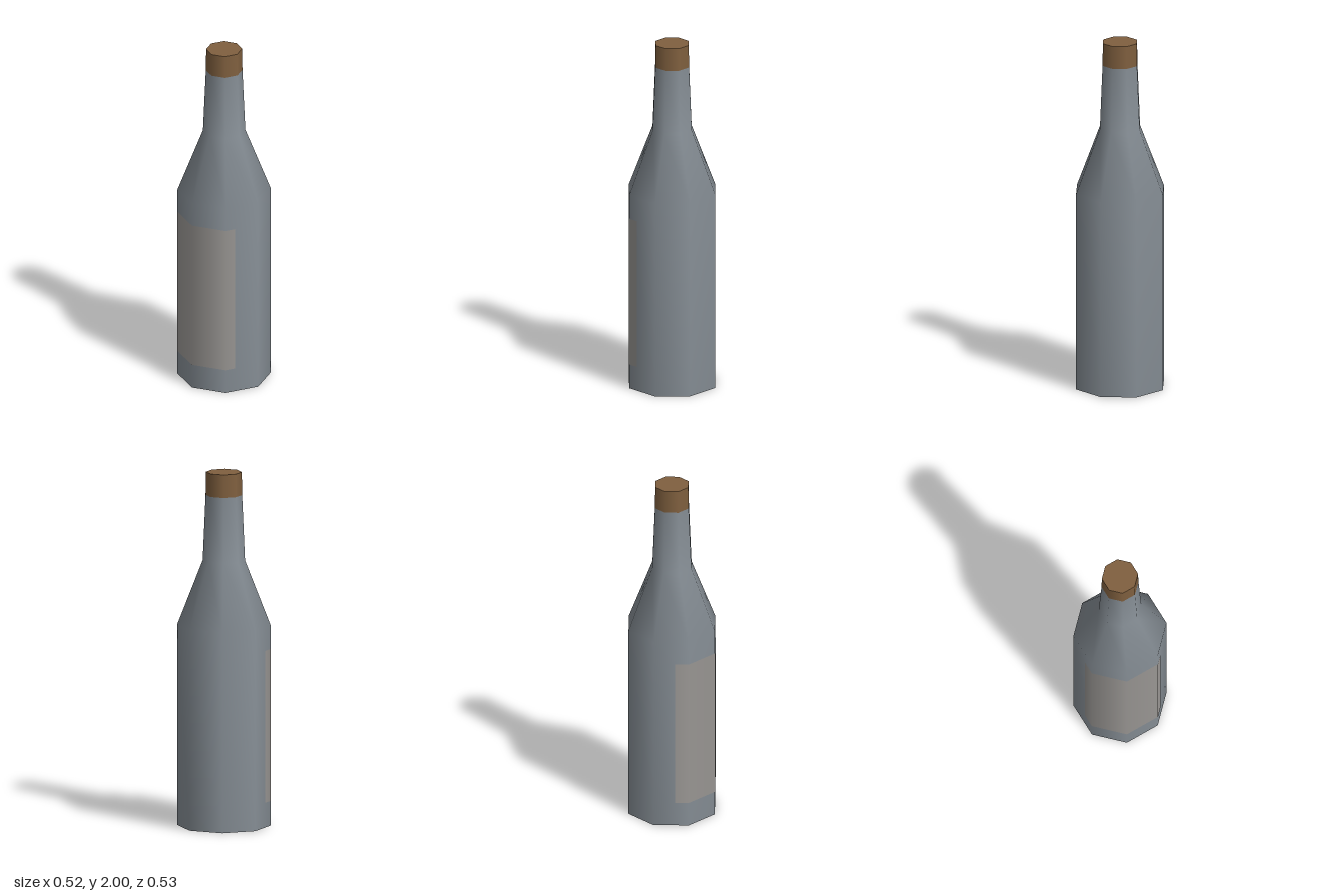
import * as THREE from 'three';

const SIDES = 8;
const R = 0.262;

function part(name, geometry, color, options = {}) {
  const mesh = new THREE.Mesh(geometry, new THREE.MeshStandardMaterial({ color, ...options }));
  mesh.name = name;
  return mesh;
}

// Thin sheet wrapped on the front of the octagonal body
function labelGeometry(y0, y1) {
  const c = R * Math.SQRT1_2;
  const outline = [[-0.214, 0.115], [-c, c], [0, R], [c, c], [0.208, 0.13]];
  const lift = 1.006;
  const positions = [], normals = [], index = [];
  outline.forEach(([x, z], i) => {
    const len = Math.hypot(x, z);
    for (const y of [y0, y1]) {
      positions.push(x * lift, y, z * lift);
      normals.push(x / len, 0, z / len);
    }
    if (i > 0) {
      const a = 2 * (i - 1);
      index.push(a, a + 2, a + 3, a, a + 3, a + 1);
    }
  });
  const g = new THREE.BufferGeometry();
  g.setAttribute('position', new THREE.Float32BufferAttribute(positions, 3));
  g.setAttribute('normal', new THREE.Float32BufferAttribute(normals, 3));
  g.setIndex(index);
  return g;
}

export function createModel() {
  const bottle = new THREE.Group();
  bottle.name = 'bottle';
  const glass = 0x858d94;

  // Body, shoulder and neck in one smooth eight-sided profile
  const profile = [[R, 0], [R, 1.135], [0.12, 1.5], [0.104, 1.87]]
    .map(([r, y]) => new THREE.Vector2(r, y));
  bottle.add(part('glassBody', new THREE.LatheGeometry(profile, SIDES), glass));

  // Flat underside
  const base = new THREE.CircleGeometry(R, SIDES).rotateX(Math.PI / 2);
  bottle.add(part('base', base, glass));

  // Stopper flush with the neck
  const stopper = new THREE.CylinderGeometry(0.102, 0.104, 0.13, SIDES).translate(0, 1.935, 0);
  bottle.add(part('stopper', stopper, 0x80603f));

  // Paper label
  bottle.add(part('label', labelGeometry(0.14, 1.0), 0x9a9794, { side: THREE.DoubleSide }));

  return bottle;
}
